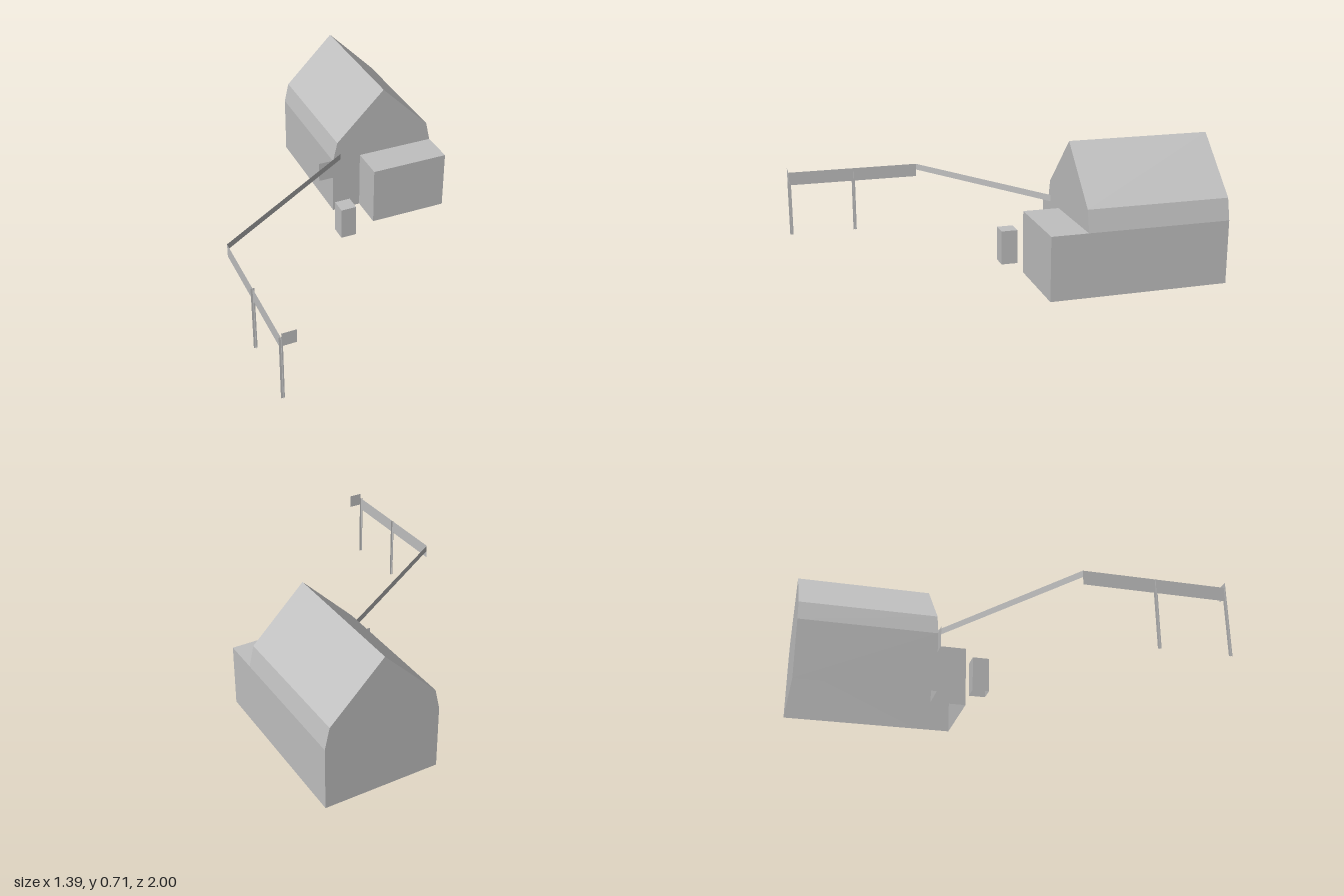
import * as THREE from 'three';

export function createModel() {
  const model = new THREE.Group();
  const grey = new THREE.MeshStandardMaterial({ color: 0xc0c0c0, side: THREE.DoubleSide });
  grey.name = 'plain grey';

  function add(name, geometry, parent = model) {
    const mesh = new THREE.Mesh(geometry, grey);
    mesh.name = name;
    parent.add(mesh);
    return mesh;
  }

  function group(name) {
    const g = new THREE.Group();
    g.name = name;
    model.add(g);
    return g;
  }

  // Flat four-cornered sheet, corners counter-clockwise from its outside
  function quad(name, a, b, c, d, parent) {
    const geo = new THREE.BufferGeometry();
    geo.setAttribute('position', new THREE.Float32BufferAttribute([a, b, c, a, c, d].flat(), 3));
    geo.computeVertexNormals();
    return add(name, geo, parent);
  }

  // Upright sheet between two ground points
  function sheet(name, [x0, z0], [x1, z1], y0, y1, parent) {
    return quad(name, [x0, y0, z0], [x1, y0, z1], [x1, y1, z1], [x0, y1, z0], parent);
  }

  // Flat wall facing +z or -z
  function gable(name, points, z, back, parent) {
    const geo = new THREE.ShapeGeometry(new THREE.Shape(points.map(([x, y]) => new THREE.Vector2(x, y))));
    const mesh = add(name, geo, parent);
    if (back) {
      // mirrored in x about the ridge, so the wall keeps its outline
      mesh.rotation.y = Math.PI;
      mesh.position.x = 2 * ridge;
    }
    mesh.position.z = z;
  }

  // Main house: bottomless shell with a steep roof and flared eaves
  const ridge = 0.396, front = -0.268, rear = -1;
  const profile = [[0.692, 0], [0.692, 0.326], [0.667, 0.435], [ridge, 0.706],
    [0.125, 0.435], [0.1, 0.326], [0.1, 0]];
  const house = group('house');
  const names = ['leftWall', 'leftEave', 'leftRoof', 'rightRoof', 'rightEave', 'rightWall'];
  names.forEach((name, i) => {
    const [x0, y0] = profile[i], [x1, y1] = profile[i + 1];
    quad(name, [x0, y0, front], [x0, y0, rear], [x1, y1, rear], [x1, y1, front], house);
  });
  gable('backWall', profile, rear, true, house);

  // Front wall is open where the annex joins it
  const annexX = 0.261, annexZ = -0.08, annexTop = 0.326;
  gable('frontWall', [[annexX, 0], [annexX, annexTop], ...profile.slice(1)], front, false, house);

  // Flat-roofed annex
  const annex = group('annex');
  sheet('annexFront', [annexX, annexZ], [0.692, annexZ], 0, annexTop, annex);
  sheet('annexLeftWall', [0.692, annexZ], [0.692, front], 0, annexTop, annex);
  sheet('annexRightWall', [annexX, front], [annexX, annexZ], 0, annexTop, annex);
  quad('annexRoof', [annexX, annexTop, annexZ], [0.692, annexTop, annexZ],
    [0.692, annexTop, front], [annexX, annexTop, front], annex);

  // Small free-standing cabinet, open below
  const cabinet = group('cabinet');
  const corners = [[0.037, -0.008], [0.123, -0.008], [0.123, -0.094], [0.037, -0.094]];
  corners.forEach((c, i) => sheet('cabinetSide', c, corners[(i + 1) % 4], 0, 0.181, cabinet));
  quad('cabinetTop', ...corners.map(([x, z]) => [x, 0.181, z]), cabinet);

  // Overhead rail: deep side run, then a slimmer run slanting to the house
  const railX = -0.688, railTop = 0.363;
  const rail = group('rail');
  sheet('sideRail', [railX, 1], [railX, 0.267], 0.29, railTop, rail);
  sheet('slantingRail', [railX, 0.267], [0.142, front + 0.003], 0.329, railTop, rail);

  // Posts made of two crossed sheets
  for (const z of [0.991, 0.631]) {
    const post = group('post');
    sheet('postFace', [railX - 0.0095, z], [railX + 0.0095, z], 0, railTop, post);
    sheet('postSide', [railX, z + 0.0095], [railX, z - 0.0095], 0, 0.29, post);
  }

  // Hanging panels at both ends of the rail
  sheet('postPanel', [railX, 1], [-0.616, 1], 0.319, 0.391, rail);
  sheet('housePanel', [0.017, front], [0.1, front], 0.218, 0.329, rail);

  return model;
}
